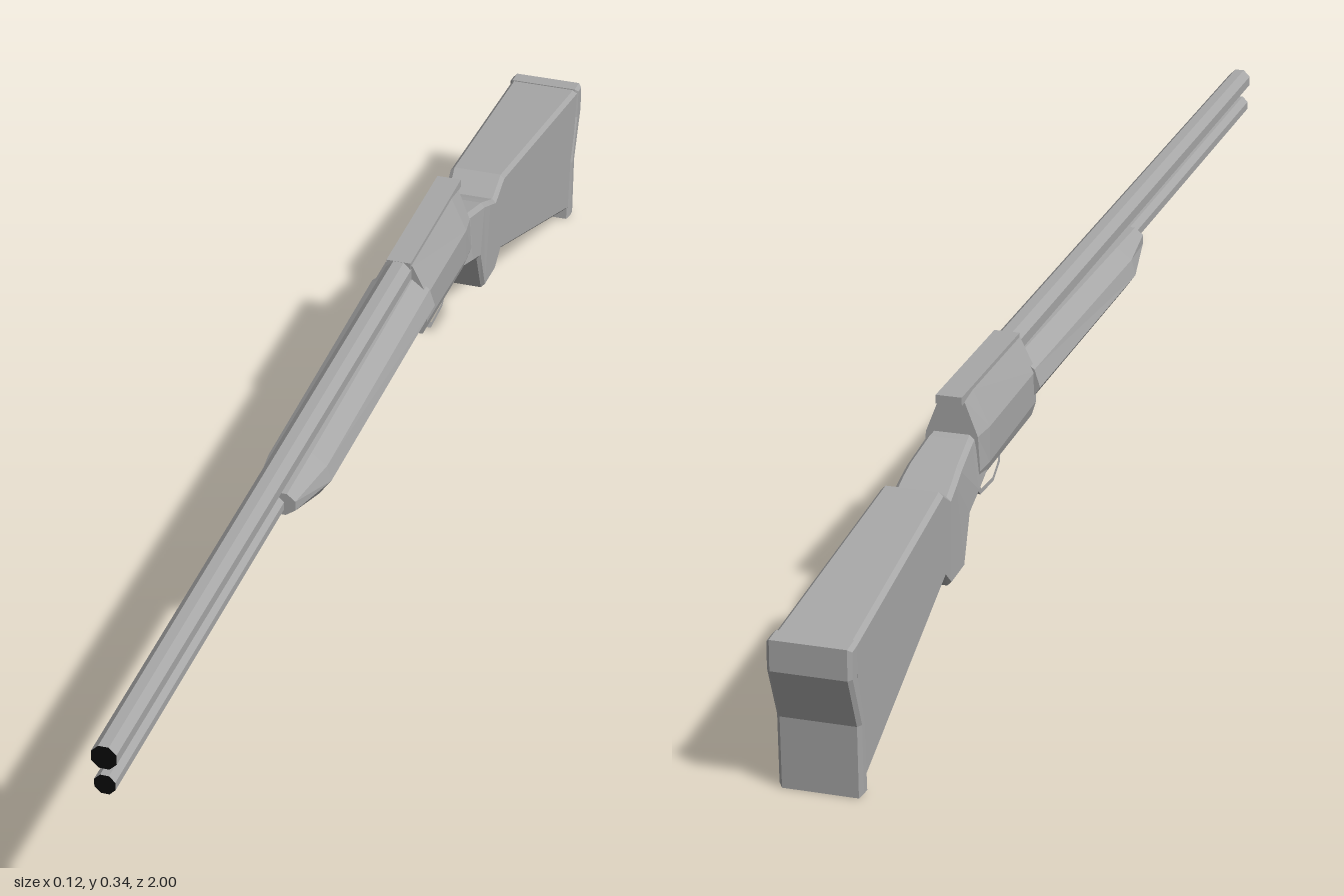
import * as THREE from 'three';

const steel = new THREE.MeshStandardMaterial({ color: 0xa8a8a8 });
steel.name = 'grey';
const bore = new THREE.MeshStandardMaterial({ color: 0x0a0a0a });
bore.name = 'black';

// Faceted mesh with a plain name
function part(name, geometry, material = steel) {
  const g = geometry.index ? geometry.toNonIndexed() : geometry;
  g.computeVertexNormals();
  const mesh = new THREE.Mesh(g, material);
  mesh.name = name;
  return mesh;
}

// Skin over cross-sections, front to back; each is its +x half [x, y, z], bottom to top
function loft(halves) {
  const rings = halves.map(h => [...h, ...[...h].reverse().map(([x, y, z]) => [-x, y, z])]);
  const n = rings[0].length;
  const index = [];
  for (let i = 0; i < rings.length - 1; i++) {
    for (let j = 0; j < n; j++) {
      const a = i * n + j, b = i * n + (j + 1) % n;
      index.push(a, a + n, b, b, a + n, b + n);
    }
  }
  const last = (rings.length - 1) * n;
  for (let j = 1; j < n - 1; j++) {
    index.push(0, j, j + 1, last, last + j + 1, last + j);
  }
  const g = new THREE.BufferGeometry();
  g.setAttribute('position', new THREE.Float32BufferAttribute(rings.flat(2), 3));
  g.setIndex(index);
  return g;
}

const atZ = (z, points) => points.map(([x, y]) => [x, y, z]);

// Chamfered box section, leaning from its top edge to its bottom edge
function stockSection([zT, yT, hT, zB, yB, hB]) {
  const c = 0.006, t = c / (yT - yB);
  const at = (k, inset) => [
    THREE.MathUtils.lerp(hB, hT, k) - inset,
    THREE.MathUtils.lerp(yB, yT, k),
    THREE.MathUtils.lerp(zB, zT, k),
  ];
  return [at(0, c), at(t, 0), at(1 - t, 0), at(1, c)];
}

// Side outline [z, y] extruded across x
function sidePlate(outline, width, hole, bevel = 0) {
  const toShape = pts => pts.map(([z, y]) => new THREE.Vector2(z, y));
  const shape = new THREE.Shape(toShape(outline));
  if (hole) shape.holes.push(new THREE.Path(toShape(hole)));
  const depth = width - 2 * bevel;
  const g = new THREE.ExtrudeGeometry(shape, {
    depth, bevelEnabled: bevel > 0, bevelSize: bevel, bevelThickness: bevel,
    bevelOffset: -bevel, bevelSegments: 1,
  });
  return g.translate(0, 0, -depth / 2).rotateY(-Math.PI / 2);
}

// Octagonal tapered tube with a black muzzle face
function barrel(name, yFront, yBack, rFront, rBack, zBack) {
  const length = 1 - zBack;
  const g = new THREE.CylinderGeometry(rFront, rBack, length, 8);
  g.rotateY(Math.PI / 8).rotateX(Math.PI / 2 - (yFront - yBack) / length);
  g.translate(0, (yFront + yBack) / 2, (1 + zBack) / 2);
  return part(name, g, [steel, bore, steel]);
}

export function createModel() {
  const body = new THREE.Group();
  body.name = 'body';

  // Barrels, one above the other
  body.add(barrel('upperBarrel', 0.324, 0.317, 0.018, 0.02, -0.23));
  body.add(barrel('lowerBarrel', 0.283, 0.277, 0.015, 0.015, 0.2));

  // Fore-end grip
  body.add(part('foreEnd', loft([
    atZ(0.35, [[0.016, 0.264], [0.03, 0.274], [0.03, 0.288], [0.018, 0.298]]),
    atZ(0.25, [[0.03, 0.237], [0.048, 0.262], [0.042, 0.285], [0.02, 0.302]]),
    atZ(-0.22, [[0.03, 0.235], [0.051, 0.265], [0.043, 0.29], [0.02, 0.308]]),
  ])));

  // Receiver with a narrow top rail
  body.add(part('receiver', loft([
    atZ(-0.21, [[0.036, 0.22], [0.042, 0.24], [0.042, 0.285], [0.02, 0.33]]),
    atZ(-0.41, [[0.036, 0.215], [0.041, 0.23], [0.041, 0.28], [0.018, 0.33]]),
    atZ(-0.445, [[0.034, 0.215], [0.039, 0.23], [0.036, 0.278], [0.016, 0.33]]),
  ])));
  const rail = new THREE.BoxGeometry(0.036, 0.012, 0.25);
  body.add(part('topRail', rail.translate(0, 0.33, -0.332)));

  // Wrist, pistol grip and shoulder stock
  body.add(part('stock', loft([
    [-0.42, 0.283, 0.028, -0.40, 0.216, 0.038],
    [-0.46, 0.278, 0.032, -0.45, 0.20, 0.04],
    [-0.52, 0.264, 0.037, -0.49, 0.185, 0.04],
    [-0.545, 0.254, 0.039, -0.516, 0.12, 0.04],
    [-0.57, 0.243, 0.04, -0.57, 0.118, 0.04],
    [-0.607, 0.265, 0.042, -0.596, 0.14, 0.041],
    [-0.978, 0.217, 0.054, -0.948, 0.015, 0.052],
  ].map(stockSection))));

  // Curved butt pad
  body.add(part('buttPad', sidePlate([
    [-0.974, 0.219], [-0.972, 0.17], [-0.95, 0.1], [-0.944, 0.001],
    [-0.966, 0.001], [-0.969, 0.1], [-1, 0.175], [-1, 0.217],
  ], 0.111, null, 0.005)));

  // Trigger guard loop and trigger
  body.add(part('triggerGuard', sidePlate(
    [[-0.285, 0.222], [-0.29, 0.18], [-0.318, 0.163], [-0.375, 0.166], [-0.4, 0.19], [-0.408, 0.222]],
    0.032,
    [[-0.294, 0.22], [-0.298, 0.185], [-0.322, 0.17], [-0.371, 0.173], [-0.392, 0.193], [-0.4, 0.22]],
  )));
  body.add(part('trigger', sidePlate(
    [[-0.355, 0.222], [-0.368, 0.2], [-0.362, 0.184], [-0.368, 0.183], [-0.376, 0.2], [-0.372, 0.222]],
    0.012,
  )));

  // The long axis sits slightly turned
  body.rotation.y = -0.0105;
  body.position.x = -0.0075;
  const model = new THREE.Group();
  model.name = 'shotgun';
  model.add(body);
  return model;
}
